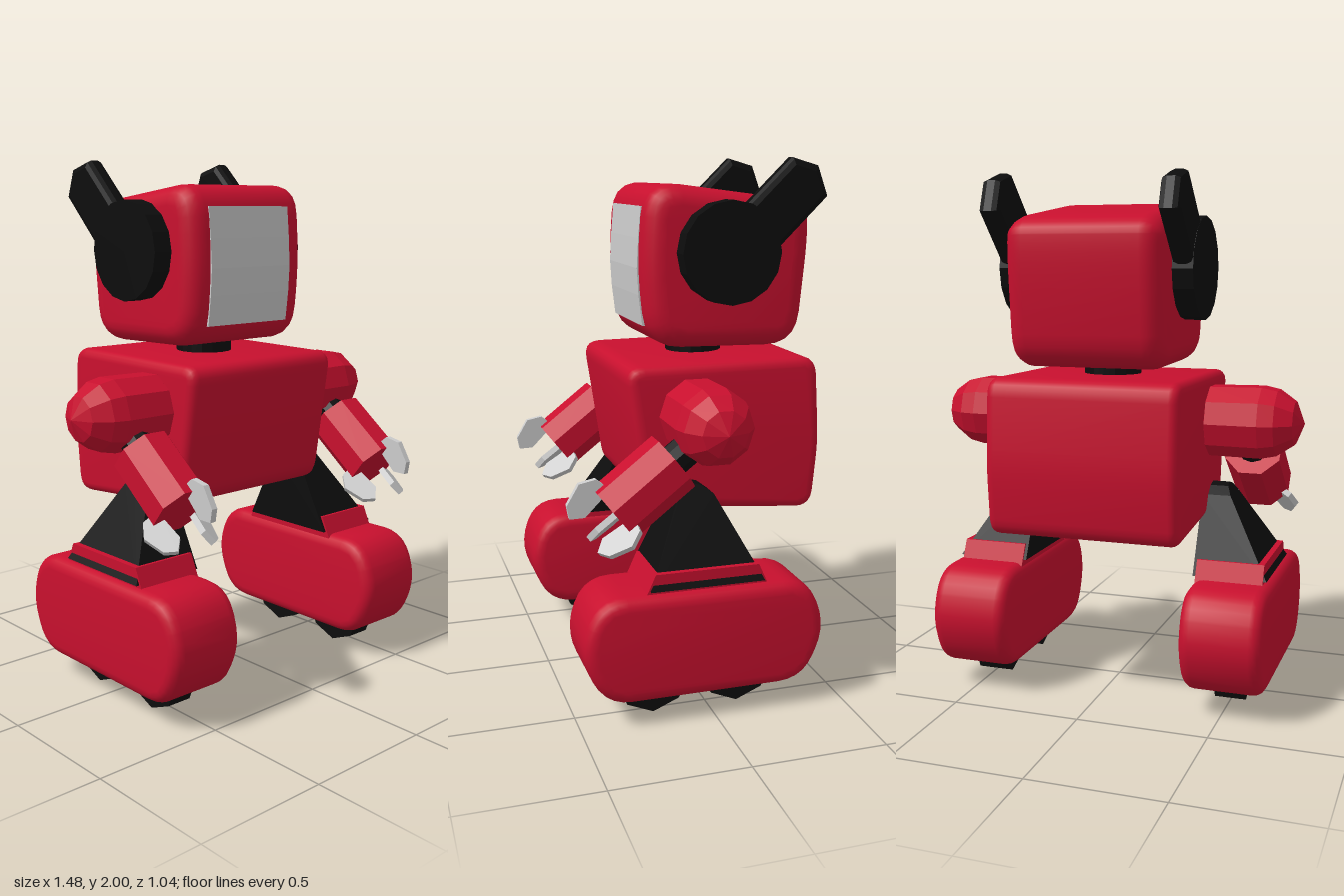
import * as THREE from 'three';
import { toCreasedNormals } from 'three/addons/utils/BufferGeometryUtils.js';

const red = new THREE.MeshStandardMaterial({ color: 0xc8102e });
const redFlat = new THREE.MeshStandardMaterial({ color: 0xc8102e, flatShading: true });
const black = new THREE.MeshStandardMaterial({ color: 0x0d0d0d, flatShading: true });
const grey = new THREE.MeshStandardMaterial({ color: 0xcccccc, flatShading: true });

function add(parent, name, geometry, material) {
  const mesh = new THREE.Mesh(geometry, material);
  mesh.name = name;
  parent.add(mesh);
  return mesh;
}

// Closed outline of [z, y] corners, each corner rounded by r
function outline(points, r = 0) {
  const shape = new THREE.Shape();
  const v = points.map(([a, b]) => new THREE.Vector2(a, b));
  if (!r) return shape.setFromPoints(v);
  v.forEach((p, i) => {
    const toward = (q) => {
      const d = q.clone().sub(p);
      return p.clone().add(d.setLength(Math.min(r, d.length() * 0.48)));
    };
    const a = toward(v[(i + v.length - 1) % v.length]);
    const b = toward(v[(i + 1) % v.length]);
    if (i) shape.lineTo(a.x, a.y); else shape.moveTo(a.x, a.y);
    shape.quadraticCurveTo(p.x, p.y, b.x, b.y);
  });
  shape.closePath();
  return shape;
}

// Side outline extruded across x, with bevelled rims, centred on x
function slab(points, x, width, r = 0, bevel = 0, bevelSegments = 4) {
  const g = new THREE.ExtrudeGeometry(outline(points, r), {
    depth: width - 2 * bevel, bevelEnabled: bevel > 0, bevelThickness: bevel,
    bevelSize: bevel, bevelOffset: -bevel, bevelSegments, curveSegments: 5,
  });
  g.translate(0, 0, bevel - width / 2).rotateY(-Math.PI / 2).translate(x, 0, 0);
  return g;
}

function buildLeg(leg) {
  // Rounded foot pod
  add(leg, 'foot', toCreasedNormals(slab([
    [0.43, 0.49], [0.505, 0.295], [0.41, 0.09], [-0.35, 0.09], [-0.44, 0.295], [-0.36, 0.49],
  ], 0.5, 0.31, 0.1, 0.045), 0.6), red);

  // Sloped collar on top of the foot
  const collar = slab([[0.27, 0.45], [0.22, 0.56], [-0.17, 0.56], [-0.22, 0.45]], 0.487, 0.26);
  add(leg, 'ankleCollar', collar, redFlat);

  // Upper leg, its outer face leaning in toward the hip
  const upper = slab([
    [0.24, 0.5], [0.09, 0.79], [0.065, 0.82], [0.03, 0.83],
    [-0.01, 0.82], [-0.05, 0.79], [-0.19, 0.5],
  ], 0.5, 1);
  const p = upper.attributes.position;
  for (let i = 0; i < p.count; i++) {
    const outer = 0.63 - (p.getY(i) - 0.5) * 0.6;
    p.setX(i, p.getX(i) > 0.5 ? outer : 0.345);
  }
  upper.computeVertexNormals();
  add(leg, 'upperLeg', upper, black);

  // Two wheels under the foot
  for (const z of [0.21, -0.115]) {
    const wheel = new THREE.CylinderGeometry(0.14, 0.14, 0.1, 8).rotateZ(Math.PI / 2);
    add(leg, 'wheel', wheel.translate(0.495, 0.14, z), black);
  }
}

function buildEar(ear) {
  const disc = new THREE.CylinderGeometry(0.19, 0.19, 0.1, 16).rotateZ(Math.PI / 2);
  add(ear, 'earDisc', disc.translate(0.323, 1.66, -0.145), black);
  add(ear, 'antenna', slab([
    [-0.376, 2.0], [-0.13, 1.76], [-0.23, 1.575], [-0.52, 1.86], [-0.48, 1.97],
  ], 0.332, 0.08, 0, 0.025, 2), black);
}

function buildArm(arm) {
  // Capsule shoulder with a domed outer end
  const profile = [[0, 0.32], [0.1, 0.32], [0.14, 0.38], [0.143, 0.58], [0.13, 0.64], [0.085, 0.705], [0, 0.74]]
    .map(([r, y]) => new THREE.Vector2(r, y));
  const shoulder = new THREE.LatheGeometry(profile, 10).rotateZ(-Math.PI / 2);
  add(arm, 'shoulder', shoulder.translate(0, 1.077, 0), redFlat);

  // Forearm group: local +z runs from elbow to hand, origin at the wrist
  const forearm = new THREE.Group();
  forearm.name = 'forearm';
  forearm.position.set(0.518, 0.775, 0.35);
  forearm.rotation.x = 0.663;
  arm.add(forearm);

  const sleeve = new THREE.CylinderGeometry(0.118, 0.118, 0.28, 8);
  sleeve.rotateY(Math.PI / 8).rotateX(Math.PI / 2);
  add(forearm, 'sleeve', sleeve.translate(0, 0, -0.14), redFlat);
  const elbow = new THREE.CylinderGeometry(0.06, 0.06, 0.2, 10).rotateX(Math.PI / 2);
  add(forearm, 'elbow', elbow.translate(0, 0, -0.34), black);

  // Three claw fingers around the wrist
  for (let i = 0; i < 3; i++) {
    const finger = slab([
      [-0.04, 0.1], [-0.03, 0.142], [0.026, 0.17], [0.107, 0.138], [0.13, 0.094], [0.086, 0.061], [-0.02, 0.075],
    ], 0, 0.024);
    add(forearm, 'finger', finger, grey).rotation.z = (i * 2 * Math.PI) / 3;
  }
}

export function createModel() {
  const model = new THREE.Group();
  model.name = 'robot';
  const body = new THREE.Group();
  body.name = 'body';
  body.position.x = -0.012;
  model.add(body);

  // Torso, wider at the top than below
  add(body, 'torso', toCreasedNormals(slab([
    [0.255, 1.255], [0.175, 0.725], [-0.49, 0.668], [-0.515, 0.93], [-0.495, 1.265],
  ], 0, 0.735, 0.07, 0.035), 0.6), red);

  // Neck
  const neck = new THREE.CylinderGeometry(0.11, 0.11, 0.14, 16);
  add(body, 'neck', neck.translate(0, 1.28, -0.115), black);

  // Head with a gently bowed front
  add(body, 'head', toCreasedNormals(slab([
    [0.145, 1.92], [0.168, 1.6], [0.135, 1.305], [-0.455, 1.295], [-0.497, 1.72], [-0.485, 1.84],
  ], 0, 0.59, 0.13, 0.075, 5), 0.6), red);

  // Face screen following the head front
  add(body, 'faceScreen', slab([
    [0.1, 1.385], [0.149, 1.385], [0.163, 1.5], [0.169, 1.6], [0.163, 1.71], [0.153, 1.825], [0.1, 1.825],
  ], -0.004, 0.405), grey);

  // Mirrored legs, ears and arms
  for (const side of [1, -1]) {
    const label = side > 0 ? 'left' : 'right';
    const parts = [['Leg', buildLeg, body], ['Ear', buildEar, body], ['Arm', buildArm, model]];
    for (const [name, build, parent] of parts) {
      const group = new THREE.Group();
      group.name = label + name;
      group.scale.x = side;
      build(group);
      parent.add(group);
    }
  }
  return model;
}
